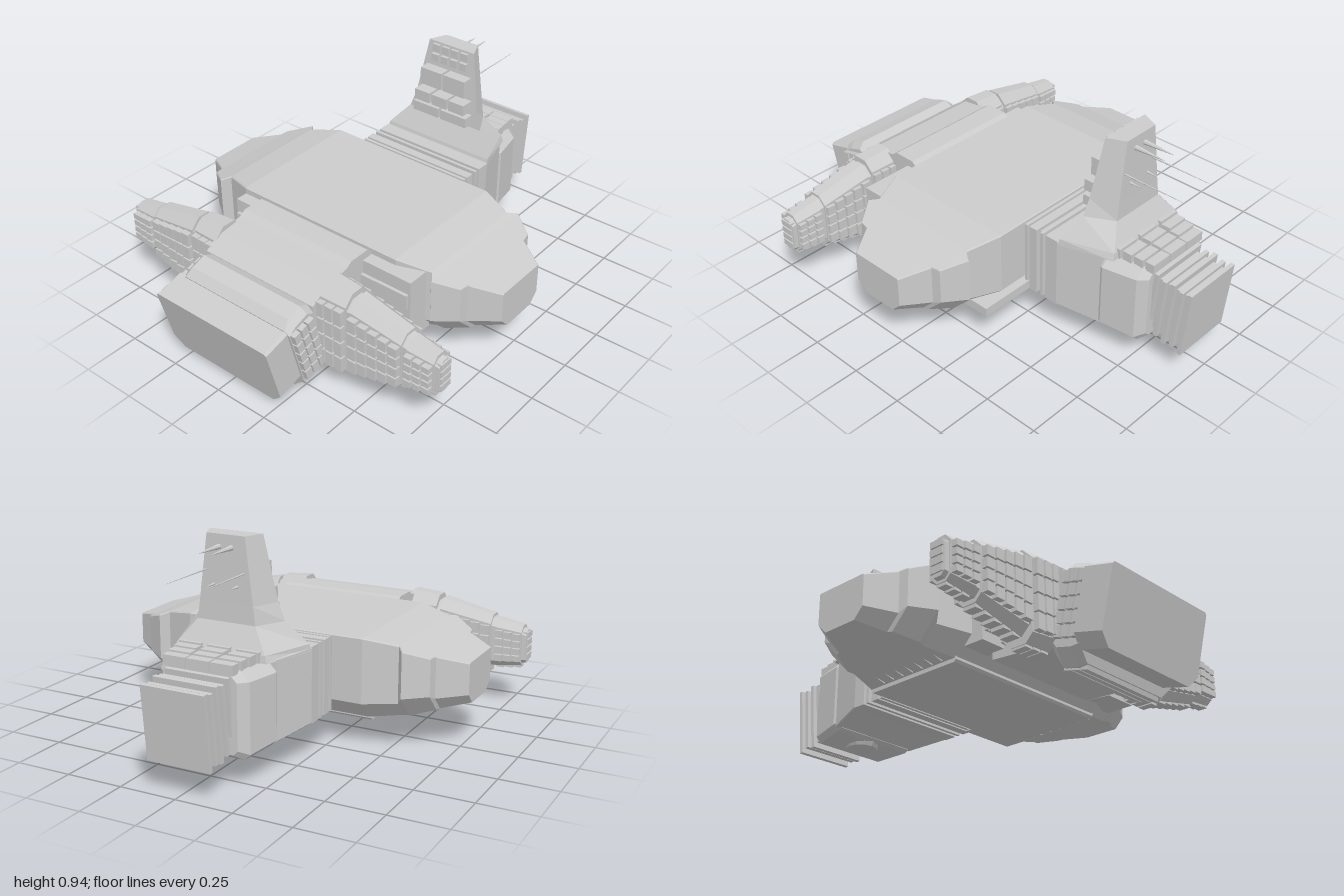
import * as THREE from 'three';

const mat = new THREE.MeshStandardMaterial({ color: 0xcccccc, flatShading: true });

function add(parent, name, geo, x = 0, y = 0, z = 0) {
  const m = new THREE.Mesh(geo, mat);
  m.name = name;
  m.position.set(x, y, z);
  parent.add(m);
  return m;
}

// Box given by its limits on each axis
function box(parent, name, x0, x1, y0, y1, z0, z1) {
  return add(parent, name, new THREE.BoxGeometry(x1 - x0, y1 - y0, z1 - z0),
    (x0 + x1) / 2, (y0 + y1) / 2, (z0 + z1) / 2);
}

// Skin over convex rings of equal point count, capped, always facing outward
function loft(rings) {
  const tris = [], n = rings[0].length;
  const first = rings[0], last = rings[rings.length - 1];
  for (let r = 0; r + 1 < rings.length; r++) {
    const a = rings[r], b = rings[r + 1];
    for (let i = 0; i < n; i++) {
      const j = (i + 1) % n;
      tris.push([a[i], a[j], b[j]], [a[i], b[j], b[i]]);
    }
  }
  for (let i = 1; i + 1 < n; i++) {
    tris.push([first[0], first[i + 1], first[i]], [last[0], last[i], last[i + 1]]);
  }
  const v = p => new THREE.Vector3(...p);
  const volume = tris.reduce((s, [a, b, c]) => s + v(a).dot(v(b).cross(v(c))), 0);
  if (volume < 0) tris.forEach(t => t.reverse());
  const g = new THREE.BufferGeometry();
  g.setAttribute('position', new THREE.Float32BufferAttribute(tris.flat(2), 3));
  g.computeVertexNormals();
  return g;
}

// Rectangle with cut corners: ct at the top, cb at the bottom
function octagon(u0, u1, y0, y1, ct, cb) {
  return [[u0 + cb, y0], [u1 - cb, y0], [u1, y0 + cb], [u1, y1 - ct],
    [u1 - ct, y1], [u0 + ct, y1], [u0, y1 - ct], [u0, y0 + cb]];
}
const ringZ = (z, ...o) => octagon(...o).map(([u, y]) => [u, y, z]);
const ringX = (x, ...o) => octagon(...o).map(([u, y]) => [x, y, u]);

function createHull(g) {
  // z, half width, bottom, top and lower chamfer, with a shoulder near each end
  const half = [[0.41, 0.317, 0.12, 0.48, 0.08], [0.55, 0.267, 0.14, 0.455, 0.07], [0.578, 0.305, 0.145, 0.445, 0.1],
    [0.675, 0.238, 0.17, 0.412, 0.08], [0.682, 0.197, 0.172, 0.41, 0.06], [0.8, 0.127, 0.2, 0.38, 0.045]];
  const ring = (s, [z, w, y0, y1, cb]) => ringZ(s * z, -0.067 - w, -0.067 + w, y0, y1, 0.005, cb);
  add(g, 'hull', loft([...half.map(h => ring(-1, h)).reverse(), ...half.map(h => ring(1, h))]));
  add(g, 'bellyPlate', loft([-0.42, 0.42].map(z => ringZ(z, -0.31, 0.17, 0.105, 0.13, 0.002, 0.01))));
  // Grating on the sloped underside
  for (const s of [-1, 1]) {
    for (let i = 0; i < 7; i++) for (let j = 0; j < 3; j++) {
      const m = add(g, 'undersideGrating', new THREE.BoxGeometry(0.042, 0.025, 0.06),
        -0.067 + (i - 3) * (0.054 - j * 0.007), 0.137 + j * 0.02, s * (0.46 + j * 0.075));
      m.rotation.x = -s * 0.25;
    }
  }
  // Side steps
  box(g, 'sideStep', 0.15, 0.28, 0.15, 0.19, 0.25, 0.53);
  for (const [z0, z1] of [[-0.41, -0.28], [0.28, 0.53]]) {
    box(g, 'sideStep', -0.44, -0.31, 0.16, 0.45, z0, z1);
    for (const y of [0.2, 0.32]) box(g, 'sideStepRib', -0.455, -0.42, y, y + 0.07, z0 + 0.01, z1 - 0.01);
  }
}

function createStern(g) {
  // Bridge piece between hull and stern
  const profile = [[-0.74, 0.1], [-0.55, 0.12], [-0.38, 0.13], [-0.38, 0.46], [-0.41, 0.485], [-0.51, 0.485],
    [-0.54, 0.465], [-0.66, 0.45], [-0.74, 0.4]];
  add(g, 'sternBridge', loft([-0.29, 0.29].map(z => profile.map(([x, y]) => [x, y, z]))));

  // Tilted engine block and its slatted collar
  const stern = new THREE.Group();
  stern.name = 'stern';
  stern.position.set(-0.9, 0.19, 0);
  stern.rotation.z = 0.25;
  g.add(stern);
  add(stern, 'engineBlock', loft([-0.062, 0.07].map(x => ringX(x, -0.32, 0.28, -0.16, 0.155, 0.01, 0.05))));
  add(stern, 'collar', loft([ringX(0.06, -0.29, 0.29, -0.2, 0.16, 0.02, 0.06),
    ringX(0.1, -0.29, 0.29, -0.212, 0.185, 0.03, 0.06), ringX(0.17, -0.29, 0.29, -0.212, 0.19, 0.03, 0.06),
    ringX(0.22, -0.29, 0.29, -0.16, 0.15, 0.03, 0.06)]));
  for (let c = 0; c < 3; c++) {
    const x = 0.065 + c * 0.04;
    for (let r = 0; r < 5; r++) for (const s of [-1, 1]) {
      const y = -0.12 + r * 0.054;
      box(stern, 'collarSlat', x, x + 0.033, y, y + 0.046, s * 0.295 - 0.018, s * 0.295 + 0.018);
    }
    box(stern, 'collarKeel', x, x + 0.033, -0.22, -0.18, -0.22, 0.22);
  }
}

// Cross arm with stepped modules and rows of small plates
function createArm(g, s) {
  const arm = new THREE.Group();
  arm.name = 'crossArm';
  g.add(arm);
  const cx = -0.617;
  const ring = (z, w, y0, y1) => ringZ(s * z, cx - w, cx + w, y0, y1, w * 0.6, w * 0.5);
  add(arm, 'armCore', loft([ring(0.2, 0.07, 0.11, 0.45), ring(0.42, 0.065, 0.12, 0.44),
    ring(0.68, 0.052, 0.17, 0.39), ring(0.83, 0.035, 0.2, 0.35)]));
  // Near z, far z, then half width, bottom and top at each end, and plate columns
  const modules = [[0.28, 0.41, 0.08, 0.08, 0.475, 0.072, 0.075, 0.465, 3],
    [0.43, 0.67, 0.072, 0.095, 0.455, 0.06, 0.15, 0.405, 5], [0.69, 0.81, 0.055, 0.17, 0.39, 0.045, 0.185, 0.37, 3]];
  for (const [z0, z1, w0, a0, b0, w1, a1, b1, n] of modules) {
    add(arm, 'armModule', loft([ring(z0, w0, a0, b0), ring(z1, w1, a1, b1)]));
    for (let i = 0; i < n; i++) {
      const t = (i + 0.5) / n, z = s * (z0 + (z1 - z0) * t);
      const w = w0 + (w1 - w0) * t, lo = a0 + (a1 - a0) * t, hi = b0 + (b1 - b0) * t;
      const step = (hi - lo - w * 1.2) / 4, dz = (z1 - z0) / n * 0.42;
      for (let r = 0; r < 4; r++) {
        const y = lo + w * 0.5 + r * step;
        box(arm, 'armRearPlate', cx - w - 0.026, cx, y + 0.004, y + step - 0.004, z - dz, z + dz);
        box(arm, 'armFrontPlate', cx, cx + w + 0.016, y + 0.004, y + step - 0.004, z - dz, z + dz);
      }
      box(arm, 'armKeelPlate', cx - w * 0.45, cx + w * 0.45, lo - 0.01, lo + 0.02, z - dz, z + dz);
    }
  }
  for (let r = 0; r < 4; r++) {
    const y = 0.215 + r * 0.034;
    box(arm, 'armTipSlat', cx - 0.03, cx + 0.03, y, y + 0.026, s * 0.825 - 0.012, s * 0.825 + 0.012);
  }
}

function createHead(g) {
  // Ribbed neck
  box(g, 'neck', 0.24, 0.45, 0.17, 0.46, -0.255, 0.255);
  for (const [x0, x1] of [[0.26, 0.275], [0.285, 0.325], [0.345, 0.36], [0.375, 0.435]]) {
    box(g, 'neckRib', x0, x1, 0.155, 0.475, -0.28, 0.28);
  }
  // Head tapering forward
  add(g, 'head', loft([ringX(0.435, -0.28, 0.28, 0.155, 0.475, 0.005, 0.005),
    ringX(0.62, -0.225, 0.225, 0.13, 0.47, 0.005, 0.005)]));
  add(g, 'foreHead', loft([ringX(0.605, -0.22, 0.22, 0.13, 0.45, 0.03, 0.02),
    ringX(0.63, -0.23, 0.23, 0.118, 0.46, 0.04, 0.025), ringX(0.78, -0.2, 0.2, 0.105, 0.46, 0.04, 0.025),
    ringX(0.815, -0.165, 0.165, 0.13, 0.45, 0.03, 0.02)]));
  add(g, 'bellyTurret', new THREE.CylinderGeometry(0.085, 0.07, 0.03, 12), 0.7, 0.117, 0);
  // Roof grating
  for (let i = 0; i < 4; i++) for (let j = 0; j < 3; j++) {
    const x = 0.635 + i * 0.05, z = (j - 1) * (0.13 - i * 0.008);
    box(g, 'roofGrating', x, x + 0.042, 0.45, 0.503 - i * 0.004, z - 0.05, z + 0.05);
  }
  // Leaning nose plates
  const nose = new THREE.Group();
  nose.name = 'nose';
  nose.position.set(0.89, 0.278, 0);
  nose.rotation.z = -0.1;
  g.add(nose);
  box(nose, 'noseCore', -0.09, 0.085, -0.13, 0.13, -0.12, 0.12);
  for (let i = 0; i < 5; i++) {
    const x = -0.085 + i * 0.041, h = i % 2 ? 0.145 : 0.157;
    box(nose, 'nosePlate', x, x + 0.018, -h, h, -0.14, 0.14);
  }
}

function createTower(g) {
  // Height, rear x, front x, rear half width, front half width
  const levels = [[0.46, 0.437, 0.67, 0.28, 0.21], [0.49, 0.445, 0.665, 0.275, 0.2], [0.585, 0.495, 0.615, 0.195, 0.13],
    [0.66, 0.502, 0.613, 0.168, 0.12], [0.93, 0.53, 0.61, 0.12, 0.085]];
  add(g, 'tower', loft(levels.map(([y, r, f, a, b]) => [[r, y, -a], [f, y, -b], [f, y, b], [r, y, a]])));
  // Stepped equipment on the tower's rear: rear x, bottom, top, half width, count
  for (const [x, y0, y1, w, n] of [[0.45, 0.6, 0.645, 0.15, 2], [0.445, 0.66, 0.71, 0.14, 3],
    [0.465, 0.735, 0.815, 0.125, 2], [0.508, 0.84, 0.875, 0.1, 4], [0.515, 0.885, 0.92, 0.1, 4]]) {
    for (let i = 0; i < n; i++) {
      const z = -w + i * 2 * w / n;
      box(g, 'towerEquipment', x, 0.54, y0, y1, z + 0.006, z + 2 * w / n - 0.006);
    }
  }
  // Forward antennas
  for (const [y, z, tip, r] of [[0.88, 0.03, 0.75, 0.012], [0.88, -0.025, 0.75, 0.012], [0.785, 0.09, 0.885, 0.004],
    [0.785, -0.08, 0.885, 0.004], [0.73, 0.055, 0.66, 0.007], [0.73, -0.05, 0.66, 0.007]]) {
    const m = add(g, 'antenna', new THREE.CylinderGeometry(0.001, r, tip - 0.6, 8), (tip + 0.6) / 2, y, z);
    m.rotation.z = -Math.PI / 2;
  }
}

export function createModel() {
  const g = new THREE.Group();
  g.name = 'spaceship';
  createHull(g);
  createStern(g);
  for (const s of [-1, 1]) createArm(g, s);
  createHead(g);
  createTower(g);
  return g;
}
